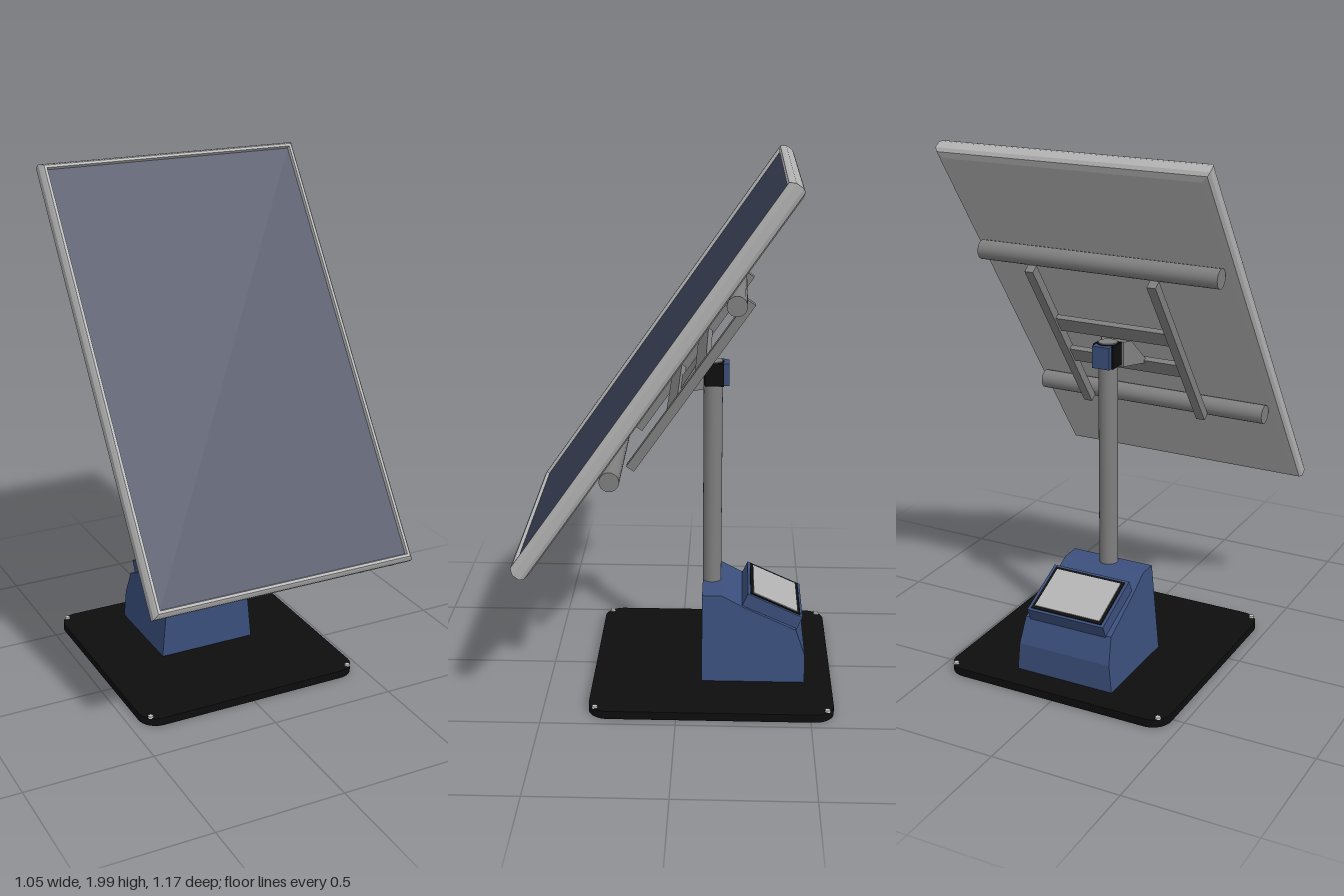
import * as THREE from 'three';

const mat = (name, color, side = THREE.FrontSide) => {
  const m = new THREE.MeshStandardMaterial({ color, side });
  m.name = name;
  return m;
};

export function createModel() {
  const silver = mat('silver frame', 0xb2b2b2);
  const steel = mat('grey steel', 0x7f7f7f);
  const glass = mat('dark screen', 0x3d435a);
  const blue = mat('blue housing', 0x3b4f7c);
  const black = mat('black', 0x0d0d0d);
  const bolt = mat('bright bolt', 0xc0c0c0);

  const root = new THREE.Group();
  root.name = 'tiltedDisplayOnStand';

  const add = (parent, name, geo, material, x = 0, y = 0, z = 0) => {
    const mesh = new THREE.Mesh(geo, material);
    mesh.name = name;
    mesh.position.set(x, y, z);
    parent.add(mesh);
    return mesh;
  };
  const box = (w, h, d) => new THREE.BoxGeometry(w, h, d);

  // Side profile of [z, y] points extruded across x, with half width set by half(y, z)
  const profileSolid = (points, half) => {
    const shape = new THREE.Shape(points.map(([z, y]) => new THREE.Vector2(z, y)));
    const geo = new THREE.ExtrudeGeometry(shape, { depth: 2, bevelEnabled: false });
    geo.rotateY(-Math.PI / 2).translate(1, 0, 0);
    const p = geo.attributes.position;
    for (let i = 0; i < p.count; i++) p.setX(i, p.getX(i) * half(p.getY(i), p.getZ(i)));
    geo.computeVertexNormals();
    return geo;
  };

  // Rectangular slab from a rim profile of [inset, z] points, closed at the back
  const rimSlab = (w, h, profile) => {
    const pos = [], idx = [];
    for (const [inset, z] of profile) {
      const a = w / 2 - inset, b = h / 2 - inset;
      pos.push(-a, -b, z, a, -b, z, a, b, z, -a, b, z);
    }
    for (let i = 0; i < profile.length - 1; i++) {
      for (let j = 0; j < 4; j++) {
        const a = i * 4 + j, b = i * 4 + (j + 1) % 4;
        idx.push(a, b, b + 4, a, b + 4, a + 4);
      }
    }
    idx.push(0, 2, 1, 0, 3, 2);
    const geo = new THREE.BufferGeometry();
    geo.setAttribute('position', new THREE.Float32BufferAttribute(pos, 3));
    geo.setIndex(idx);
    const flat = geo.toNonIndexed();
    flat.computeVertexNormals();
    return flat;
  };

  // ---- Stand ----
  const stand = new THREE.Group();
  stand.name = 'stand';
  stand.position.x = 0.004;
  root.add(stand);

  // Base plate with rounded corners
  const s = 0.458, r = 0.075;
  const plate = new THREE.Shape();
  plate.moveTo(s, -s + r);
  plate.absarc(s - r, s - r, r, 0, Math.PI / 2);
  plate.absarc(-s + r, s - r, r, Math.PI / 2, Math.PI);
  plate.absarc(-s + r, -s + r, r, Math.PI, Math.PI * 1.5);
  plate.absarc(s - r, -s + r, r, Math.PI * 1.5, Math.PI * 2);
  const plateGeo = new THREE.ExtrudeGeometry(plate, { depth: 0.031, bevelEnabled: false, curveSegments: 8 });
  add(stand, 'basePlate', plateGeo.rotateX(-Math.PI / 2), black, 0, 0, -0.13);
  for (const x of [-1, 1]) {
    for (const z of [-1, 1]) {
      add(stand, 'baseBolt', new THREE.CylinderGeometry(0.01, 0.011, 0.008, 12), bolt,
        x * 0.428, 0.034, -0.13 + z * 0.432);
    }
  }

  // Tapered housing
  const taper = (y) => 0.2 - 0.032 * (y - 0.03) / 0.345;
  add(stand, 'housing', profileSolid([
    [-0.09, 0.03], [-0.09, 0.373], [-0.165, 0.373], [-0.25, 0.328],
    [-0.45, 0.24], [-0.485, 0.14], [-0.485, 0.03],
  ], taper), blue);

  // Sloping reader pad on the back of the housing
  const pad = new THREE.Group();
  pad.name = 'readerPad';
  pad.position.set(0, 0.332, -0.37);
  pad.rotation.x = -Math.atan2(0.095, 0.21);
  stand.add(pad);
  add(pad, 'padHousing', box(0.32, 0.06, 0.23), blue, 0, -0.03, 0);
  add(pad, 'padBorder', box(0.296, 0.004, 0.21), black, 0, 0.001, 0);
  add(pad, 'padPlate', box(0.272, 0.006, 0.186), silver, 0, 0.003, 0);

  // Post and clamp
  add(stand, 'post', new THREE.CylinderGeometry(0.036, 0.036, 0.89, 24), steel, 0, 0.812, -0.125);
  add(stand, 'clampCollar', new THREE.CylinderGeometry(0.041, 0.041, 0.088, 24), black, 0, 1.209, -0.125);
  add(stand, 'clampBlock', box(0.07, 0.084, 0.045), blue, 0, 1.209, -0.1625);
  for (const x of [-1, 1]) add(stand, 'clampCheek', box(0.006, 0.088, 0.07), black, x * 0.038, 1.209, -0.13);

  // Mount wedge, widening towards the display
  add(stand, 'mountWedge', profileSolid(
    [[0.005, 1.155], [-0.09, 1.155], [-0.09, 1.25], [-0.06, 1.25]],
    (y, z) => 0.045 + 0.055 * (z + 0.09) / 0.09), steel);

  // ---- Display, tilted back ----
  const display = new THREE.Group();
  display.name = 'display';
  display.position.set(0, 1.285, 0.0775);
  display.rotation.x = -THREE.MathUtils.degToRad(35);
  root.add(display);

  add(display, 'displayFrame', rimSlab(1.05, 1.7, [
    [0.03, -0.035], [0.008, -0.028], [0, -0.015], [0, 0.015],
    [0.008, 0.028], [0.014, 0.035], [0.024, 0.035], [0.028, 0.02],
  ]), silver);
  add(display, 'screen', box(0.996, 1.646, 0.006), glass, 0, 0, 0.02);
  for (const x of [0.31, 0.44]) add(display, 'button', box(0.014, 0.004, 0.01), black, x, -0.85, 0.009);

  // Rear mounting frame: round tubes, upright rails and cross plates
  for (const y of [-0.374, 0.398]) {
    const tube = new THREE.CylinderGeometry(0.036, 0.036, 0.96, 20).rotateZ(Math.PI / 2);
    add(display, 'mountTube', tube, steel, 0, y, -0.073);
  }
  for (const x of [-0.245, 0.245]) add(display, 'mountRail', box(0.035, 0.76, 0.034), steel, x, 0.019, -0.136);
  for (const y of [-0.08, 0.1]) add(display, 'crossPlate', box(0.46, 0.07, 0.02), steel, 0, y, -0.134);

  return root;
}
